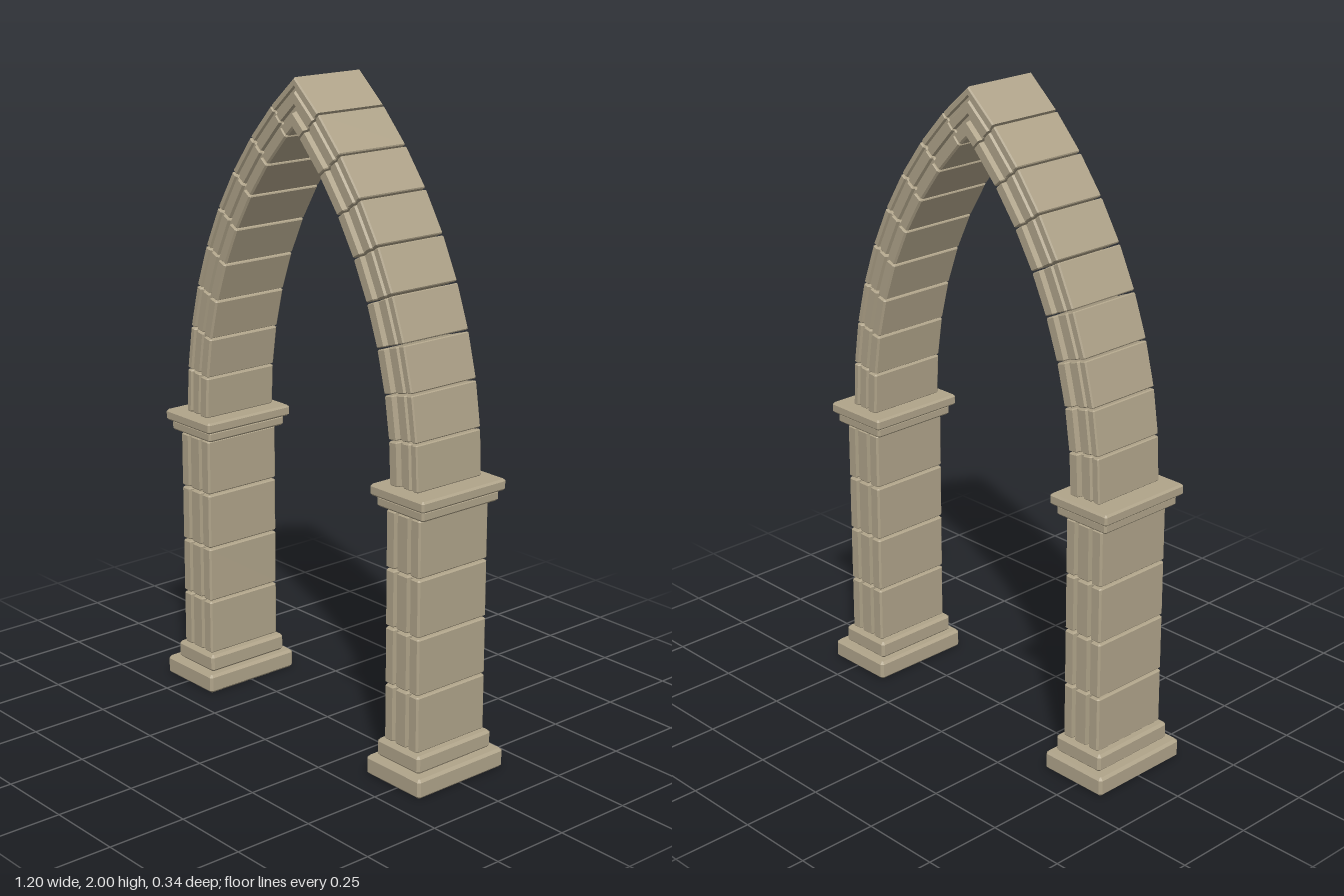
import * as THREE from 'three';

const stone = new THREE.MeshStandardMaterial({ color: 0xb0a48a });
stone.name = 'sandstone';

// Prism with chamfered ends; the outline keeps its full size in the middle
function prism(points, length, bevel) {
  const shape = new THREE.Shape(points.map(([x, y]) => new THREE.Vector2(x, y)));
  const geo = new THREE.ExtrudeGeometry(shape, {
    depth: length - 2 * bevel, steps: 1, bevelEnabled: bevel > 0, bevelSegments: 1,
    bevelThickness: bevel, bevelSize: bevel, bevelOffset: -bevel,
  });
  return geo.translate(0, 0, bevel);
}

function named(geo, name) {
  const mesh = new THREE.Mesh(geo, stone);
  mesh.name = name;
  return mesh;
}

// Rectangle with cut corners
function cutRect(w, d, c) {
  return [[w - c, -d], [w, -d + c], [w, d - c], [w - c, d],
    [-w + c, d], [-w, d - c], [-w, -d + c], [-w + c, -d]];
}

// Closed outline mirrored across the second axis from one edge profile
function mirrored(profile) {
  return [...profile.map(([x, z]) => [x, -z]), ...[...profile].reverse()];
}

// Horizontal course of a pillar
function course(outline, x, y0, y1, name, bevel) {
  const mesh = named(prism(outline, y1 - y0, bevel).rotateX(-Math.PI / 2), name);
  mesh.position.set(x, y0, 0);
  return mesh;
}

// Fluted front and back faces of the pillar blocks
const FLUTED = mirrored([
  [-0.07, 0.129], [-0.065, 0.135], [-0.036, 0.135], [-0.034, 0.12], [-0.022, 0.12],
  [-0.020, 0.135], [0.020, 0.135], [0.022, 0.12], [0.034, 0.12], [0.036, 0.135],
  [0.065, 0.135], [0.07, 0.129],
]);

function pillar() {
  const g = new THREE.Group();
  g.add(course(cutRect(0.115, 0.17, 0.008), 0.485, 0, 0.06, 'plinth', 0.008));
  g.add(course(cutRect(0.09, 0.147, 0.008), 0.481, 0.06, 0.115, 'baseMoulding', 0.008));
  for (let i = 0; i < 4; i++) {
    const y = 0.117 + i * 0.1785;
    g.add(course(FLUTED, 0.481, y, y + 0.173, 'pillarBlock', 0.004));
  }
  g.add(course(cutRect(0.097, 0.149, 0.006), 0.482, 0.832, 0.864, 'capitalNeck', 0.006));
  g.add(course(cutRect(0.111, 0.163, 0.006), 0.482, 0.864, 0.898, 'capitalSlab', 0.006));
  return g;
}

// Pointed arch: each side is a circular arc centred beyond the opposite side
const CX = -0.876, SPRING = 0.9, STEP = 0.1, COUNT = 9, GAP = 0.002;

// Moulded cross-section: radius and half depth
const RIB = mirrored([
  [1.296, 0.126], [1.301, 0.132], [1.328, 0.132], [1.332, 0.116], [1.344, 0.116],
  [1.348, 0.125], [1.372, 0.125], [1.376, 0.118], [1.384, 0.118], [1.388, 0.125],
  [1.402, 0.125], [1.406, 0.121],
]);

function voussoir(i) {
  const last = i === COUNT - 1;
  const geo = prism(RIB, 0.135, last ? 0 : 0.003);
  const p = geo.attributes.position;
  for (let k = 0; k < p.count; k++) {
    const r = p.getX(k), t = p.getZ(k) / 0.135;
    const a0 = i * STEP + (i ? GAP : 0);
    // the last stone is cut on the centre plane
    const a1 = last ? Math.acos(-CX / r) : (i + 1) * STEP - GAP;
    const a = a0 + (a1 - a0) * t;
    p.setXYZ(k, CX + r * Math.cos(a), SPRING + r * Math.sin(a), -p.getY(k));
  }
  geo.computeVertexNormals();
  return named(geo, last ? 'apexStone' : 'archStone');
}

export function createModel() {
  const model = new THREE.Group();
  model.name = 'pointedArch';
  for (const side of ['left', 'right']) {
    const half = pillar();
    half.name = side + 'Half';
    for (let i = 0; i < COUNT; i++) half.add(voussoir(i));
    if (side === 'right') half.rotation.y = Math.PI;
    model.add(half);
  }
  return model;
}
